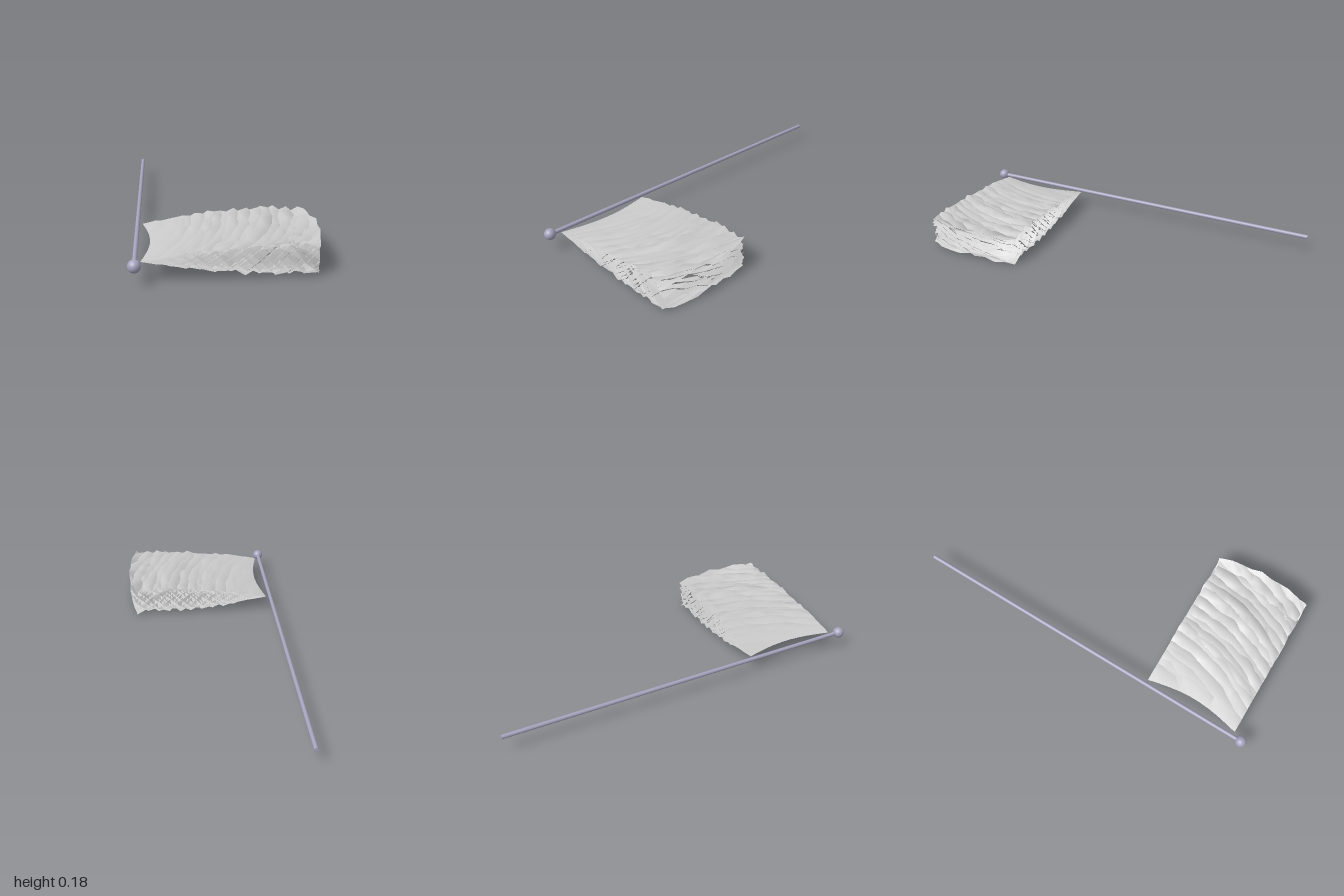
import * as THREE from 'three';

const AXIS_X = -0.41, AXIS_Y = 0.113;
const SHEETS = 14;

// Small seeded generator in -1..1
function makeRandom(seed) {
  let s = seed;
  return () => {
    s = (s * 16807) % 2147483647;
    return (s / 2147483647) * 2 - 1;
  };
}

// One wavy cloth layer, fixed along the pole and rippling more toward its free end
function clothLayer(index, random) {
  const geometry = new THREE.PlaneGeometry(1, 1, 12, 9);
  geometry.rotateX(-Math.PI / 2);
  const p = geometry.attributes.position;
  const phase = (index / SHEETS) * Math.PI * 2;
  const phase2 = random() * Math.PI;
  const wave2 = 16 + random() * 4;
  for (let i = 0; i < p.count; i++) {
    const u = p.getX(i) + 0.5, v = p.getZ(i) + 0.5;
    const bow = 0.04 * Math.sin(Math.PI * v);
    const amplitude = 0.079 * Math.pow(Math.sin(Math.min(u / 0.75, 1) * Math.PI / 2), 0.95) + 0.007 * u;
    const ripple = 0.86 * Math.sin(u * 12 + v * 2.2 - phase)
      + 0.14 * Math.sin(u * wave2 + v * 5 + phase2);
    const jitter = 0.009 * u;
    const y = AXIS_Y + amplitude * ripple + jitter * random();
    p.setXYZ(i,
      -0.385 + 0.785 * u + bow + jitter * 0.6 * random(),
      Math.max(0, y),
      0.395 + 0.525 * v + jitter * random());
  }
  geometry.computeVertexNormals();
  return geometry;
}

export function createModel() {
  const model = new THREE.Group();
  model.name = 'flag';

  const poleMaterial = new THREE.MeshStandardMaterial({ color: 0xa6a3bd });
  const clothMaterial = new THREE.MeshStandardMaterial({ color: 0xcccccc, side: THREE.DoubleSide });

  // Pole lying along z, with a ball on its front end
  const pole = new THREE.Mesh(new THREE.CylinderGeometry(0.011, 0.011, 1.97, 16), poleMaterial);
  pole.name = 'pole';
  pole.rotation.x = Math.PI / 2;
  pole.position.set(AXIS_X, AXIS_Y, -0.015);
  model.add(pole);

  const finial = new THREE.Mesh(new THREE.SphereGeometry(0.03, 32, 20), poleMaterial);
  finial.name = 'finial';
  finial.position.set(AXIS_X, AXIS_Y, 0.97);
  model.add(finial);

  // Overlapping cloth layers, each a step further along the wave
  const cloth = new THREE.Group();
  cloth.name = 'cloth';
  const random = makeRandom(4711);
  for (let i = 0; i < SHEETS; i++) {
    const layer = new THREE.Mesh(clothLayer(i, random), clothMaterial);
    layer.name = `clothLayer${i + 1}`;
    cloth.add(layer);
  }
  model.add(cloth);
  return model;
}
